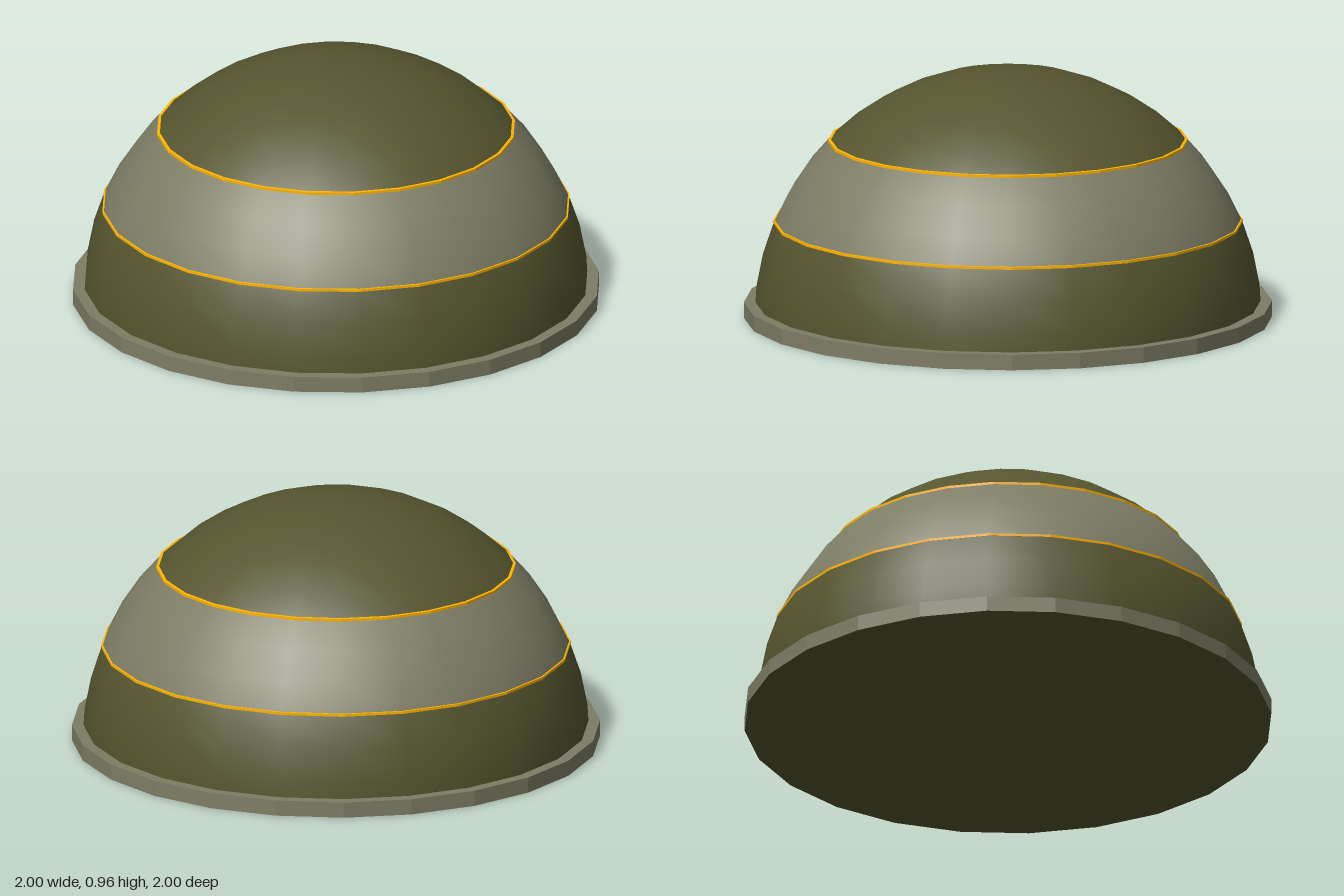
import * as THREE from 'three';

const SIDES = 24;
const R = 0.96;
const STEP = Math.PI / 24; // 7.5 degrees between dome rings

const paint = (color, flat = false) =>
  new THREE.MeshStandardMaterial({ color, flatShading: flat, side: THREE.DoubleSide });

export function createModel() {
  const group = new THREE.Group();
  const olive = paint(0x55552f);
  const grey = paint(0x7d7d65);
  const greyFlat = paint(0x7d7d65, true);
  const yellow = paint(0xffb400, true);

  const add = (name, geometry, material) => {
    const mesh = new THREE.Mesh(geometry, material);
    mesh.name = name;
    group.add(mesh);
    return mesh;
  };
  const lathe = (pairs) =>
    new THREE.LatheGeometry(pairs.map(([x, y]) => new THREE.Vector2(x, y)), SIDES);

  // Dome zones, each given by its first ring (counted from the top) and ring count
  const zone = (name, first, count, material) =>
    add(name, new THREE.SphereGeometry(R, SIDES, count, 0, Math.PI * 2, first * STEP, count * STEP), material);
  zone('domeCap', 0, 6, olive);
  zone('middleBand', 6, 3, grey);
  zone('lowerBand', 9, 3, olive);

  // Thin trim strips on the two seams
  for (const [name, ring] of [['upperTrim', 6], ['lowerTrim', 9]]) {
    const r = R * Math.sin(ring * STEP);
    const y = R * Math.cos(ring * STEP);
    add(name, lathe([[r - 0.004, y - 0.002], [r + 0.002, y - 0.002], [r + 0.002, y + 0.008], [r - 0.009, y + 0.009]]), yellow);
  }

  // Base rim with a flat top ledge
  add('baseRim', lathe([[1, 0], [1, 0.06], [0.94, 0.06]]), greyFlat);

  // Closed underside
  const underside = add('underside', new THREE.CircleGeometry(1, SIDES), olive);
  underside.rotation.x = Math.PI / 2;

  return group;
}
